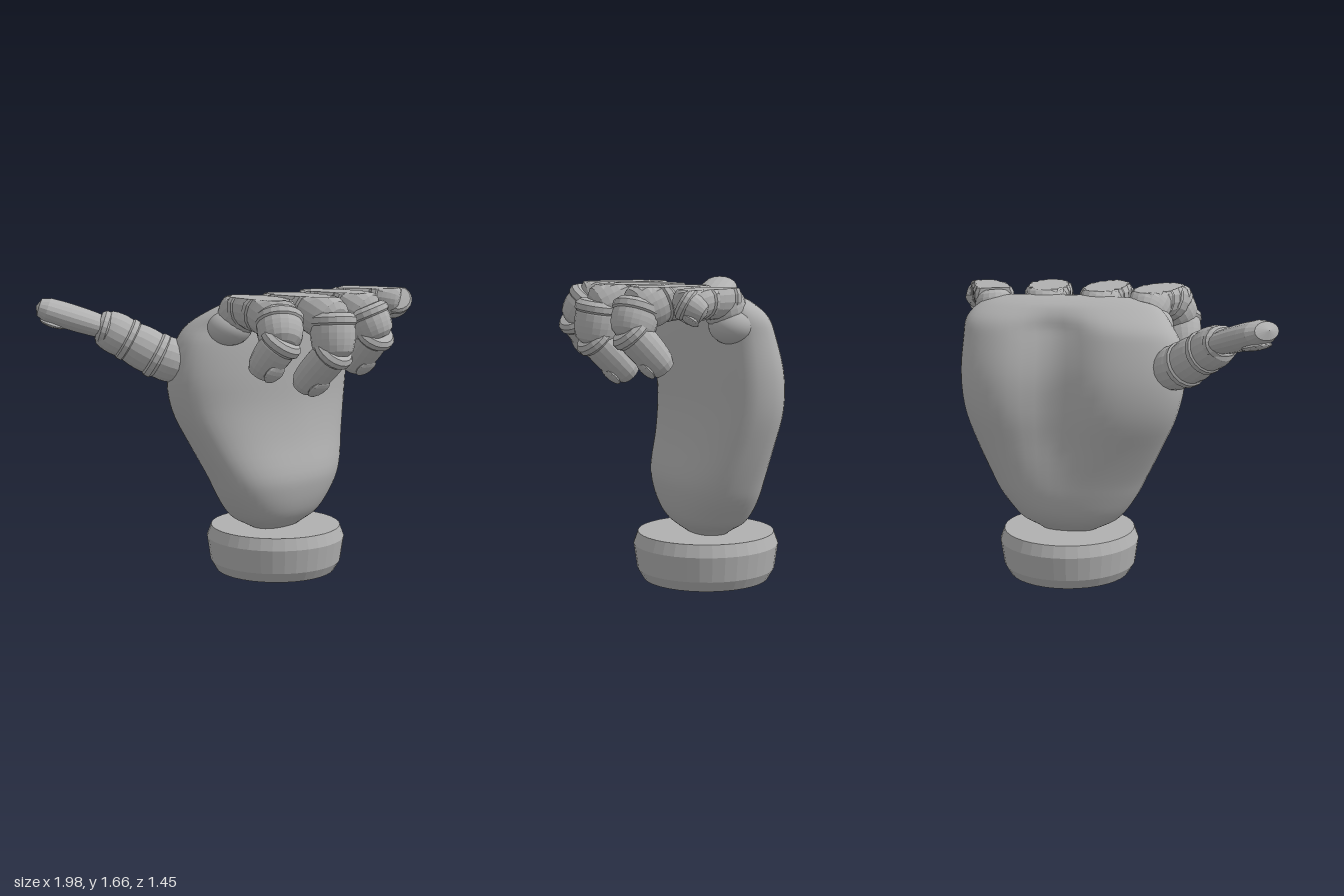
import * as THREE from 'three';
import { mergeVertices } from 'three/addons/utils/BufferGeometryUtils.js';
import { ParametricGeometry } from 'three/addons/geometries/ParametricGeometry.js';

const TOP = 1.66; // every finger is cut flat at this height

// faceted normals
function faceted(geo) {
  const g = geo.index ? geo.toNonIndexed() : geo;
  g.computeVertexNormals();
  return g;
}

function lathe(profile, sides) {
  return new THREE.LatheGeometry(profile.map(([r, y]) => new THREE.Vector2(r, y)), sides);
}

// frame at a, with y along a->b and x close to side
function frame(a, b, side) {
  const y = b.clone().sub(a).normalize();
  const x = side.clone().addScaledVector(y, -side.dot(y)).normalize();
  const z = x.clone().cross(y);
  return new THREE.Matrix4().makeBasis(x, y, z).setPosition(a);
}

function place(geo, matrix) {
  geo.applyMatrix4(matrix);
  const p = geo.attributes.position;
  for (let i = 0; i < p.count; i++) p.setY(i, Math.min(p.getY(i), TOP));
  return faceted(geo);
}

// palm rows: height, x min, x max, back z, front z
const ROWS = [
  [0.26, 0.12, 0.42, -0.09, 0.09],
  [0.295, 0.05, 0.47, -0.14, 0.14],
  [0.34, -0.03, 0.55, -0.19, 0.19],
  [0.40, -0.085, 0.605, -0.225, 0.225],
  [0.50, -0.15, 0.68, -0.25, 0.255],
  [0.60, -0.20, 0.73, -0.265, 0.265],
  [0.80, -0.30, 0.81, -0.29, 0.22],
  [1.00, -0.39, 0.87, -0.32, 0.195],
  [1.20, -0.43, 0.89, -0.31, 0.195],
  [1.40, -0.40, 0.88, -0.25, 0.195],
  [1.50, -0.34, 0.87, -0.20, 0.19],
  [1.57, -0.27, 0.82, -0.12, 0.18],
  [1.615, -0.18, 0.72, -0.04, 0.15],
  [1.635, 0.28, 0.28, 0.07, 0.07],
];

function palmGeometry() {
  const size = new THREE.CatmullRomCurve3(ROWS.map((r) => new THREE.Vector3(r[0], r[1], r[2])));
  const depth = new THREE.CatmullRomCurve3(ROWS.map((r) => new THREE.Vector3(r[0], r[3], r[4])));
  const s = new THREE.Vector3(), d = new THREE.Vector3();
  const power = (v, e) => Math.sign(v) * Math.abs(v) ** e;
  const geo = new ParametricGeometry((u, v, out) => {
    size.getPoint(u, s);
    depth.getPoint(u, d);
    const t = (v % 1) * Math.PI * 2;
    const cx = (s.y + s.z) / 2, cz = (d.y + d.z) / 2;
    const c = power(Math.cos(t), 0.9), n = power(Math.sin(t), 0.8);
    const x = cx + c * (s.z - s.y) / 2;
    let z = cz + n * (d.z - d.y) / 2;
    // groove down the back, and a backward lean on the thumb side
    const w = THREE.MathUtils.smoothstep(s.x, 0.4, 1.1) * (1 - THREE.MathUtils.smoothstep(s.x, 1.45, 1.63));
    if (n < 0) z += 0.1 * w * -n * Math.exp(-(((x - 0.33) / 0.2) ** 2));
    z += 0.07 * w * Math.min(0, c);
    out.set(x, s.x, z);
  }, 48, 52);
  geo.deleteAttribute('uv');
  geo.deleteAttribute('normal');
  const smooth = mergeVertices(geo, 1e-4);
  smooth.computeVertexNormals();
  return smooth;
}

// barrel-shaped bone; the last one has a rounded tip
function boneGeometry(length, r0, r1, isTip) {
  const profile = [[0.001, -0.35 * r0], [0.6 * r0, -0.25 * r0], [0.9 * r0, 0]];
  for (let i = 1; i <= 4; i++) {
    const t = i / 5;
    profile.push([THREE.MathUtils.lerp(r0, r1, t) * (0.92 + 0.08 * Math.sin(t * Math.PI)), t * length]);
  }
  const end = isTip ? 0.55 : 0.3;
  profile.push([0.9 * r1, length], [0.66 * r1, length + 0.7 * end * r1], [0.001, length + end * r1]);
  return lathe(profile, 18);
}

function ringGeometry(r) {
  return lathe([[0.001, -0.35 * r], [0.85 * r, -0.3 * r], [1.02 * r, -0.12 * r],
    [1.02 * r, 0.12 * r], [0.85 * r, 0.3 * r], [0.001, 0.35 * r]], 18);
}

// joints: [x, y, z, radius] from the knuckle to the tip
function makeFinger(name, joints, side, flat, material) {
  const finger = new THREE.Group();
  finger.name = name;
  const add = (part, geo, matrix) => {
    const mesh = new THREE.Mesh(place(geo, matrix), material);
    mesh.name = part;
    finger.add(mesh);
  };
  const pts = joints.map((j) => new THREE.Vector3(j[0], j[1], j[2]));
  for (let i = 0; i < pts.length - 1; i++) {
    const isTip = i === pts.length - 2;
    const r0 = joints[i][3], r1 = joints[i + 1][3];
    const length = pts[i].distanceTo(pts[i + 1]);
    const matrix = frame(pts[i], pts[i + 1], side);
    const squash = isTip ? flat : 1;
    add('bone', boneGeometry(length, r0, r1, isTip).scale(1, 1, squash), matrix);
    if (i > 0) add('jointRing', ringGeometry(r0).scale(1, 1, (1 + squash) / 2), matrix);
    if (isTip) {
      const nail = new THREE.SphereGeometry(1, 14, 8).scale(0.7 * r1, 0.6 * r1, 0.02);
      add('nail', nail.translate(0, length * 0.85, -r1 * 0.88 * flat), matrix);
    }
  }
  return finger;
}

export function createModel() {
  const hand = new THREE.Group();
  hand.name = 'hand';
  const grey = new THREE.MeshStandardMaterial({ color: 0xb0b0b0 });
  grey.name = 'grey';

  // round stand
  const stand = new THREE.Mesh(faceted(lathe(
    [[0, 0], [0.355, 0], [0.39, 0.06], [0.41, 0.2], [0.385, 0.268], [0, 0.268]], 36)), grey);
  stand.name = 'stand';
  stand.position.x = 0.27;
  hand.add(stand);

  const palm = new THREE.Mesh(palmGeometry(), grey);
  palm.name = 'palm';
  hand.add(palm);

  // knuckle swellings at both edges of the palm
  for (const [x, y] of [[-0.20, 1.48], [0.75, 1.46]]) {
    const knuckle = new THREE.Mesh(new THREE.SphereGeometry(1, 24, 16), grey);
    knuckle.name = 'knuckle';
    knuckle.scale.set(0.13, 0.1, 0.13);
    knuckle.position.set(x, y, 0.07);
    hand.add(knuckle);
  }

  // four curled fingers
  const across = new THREE.Vector3(1, 0, 0);
  const fingers = {
    indexFinger: [[-0.165, 1.53, 0.08, 0.12], [-0.185, 1.61, 0.20, 0.13], [-0.21, 1.60, 0.35, 0.135],
      [-0.25, 1.55, 0.49, 0.13], [-0.30, 1.44, 0.55, 0.12], [-0.335, 1.30, 0.45, 0.105]],
    middleFinger: [[0.12, 1.53, 0.10, 0.12], [0.115, 1.61, 0.22, 0.13], [0.11, 1.60, 0.39, 0.135],
      [0.10, 1.53, 0.57, 0.13], [0.085, 1.36, 0.59, 0.12], [0.075, 1.18, 0.41, 0.11]],
    ringFinger: [[0.43, 1.53, 0.10, 0.12], [0.445, 1.61, 0.21, 0.13], [0.465, 1.60, 0.36, 0.135],
      [0.48, 1.54, 0.50, 0.13], [0.505, 1.42, 0.545, 0.12], [0.525, 1.25, 0.39, 0.105]],
    littleFinger: [[0.73, 1.50, 0.10, 0.115], [0.745, 1.61, 0.13, 0.115], [0.82, 1.61, 0.29, 0.11],
      [0.89, 1.59, 0.40, 0.095], [0.925, 1.555, 0.35, 0.085]],
  };
  for (const [name, joints] of Object.entries(fingers)) {
    hand.add(makeFinger(name, joints, across, 0.85, grey));
  }

  // thumb stretched out to the back, with a flattened tip
  hand.add(makeFinger('thumb', [
    [-0.34, 1.27, -0.18, 0.125], [-0.45, 1.32, -0.255, 0.13], [-0.57, 1.41, -0.36, 0.12],
    [-0.67, 1.48, -0.44, 0.115], [-0.90, 1.58, -0.65, 0.125],
  ], new THREE.Vector3(0.7, 0, -0.7), 0.6, grey));

  return hand;
}
